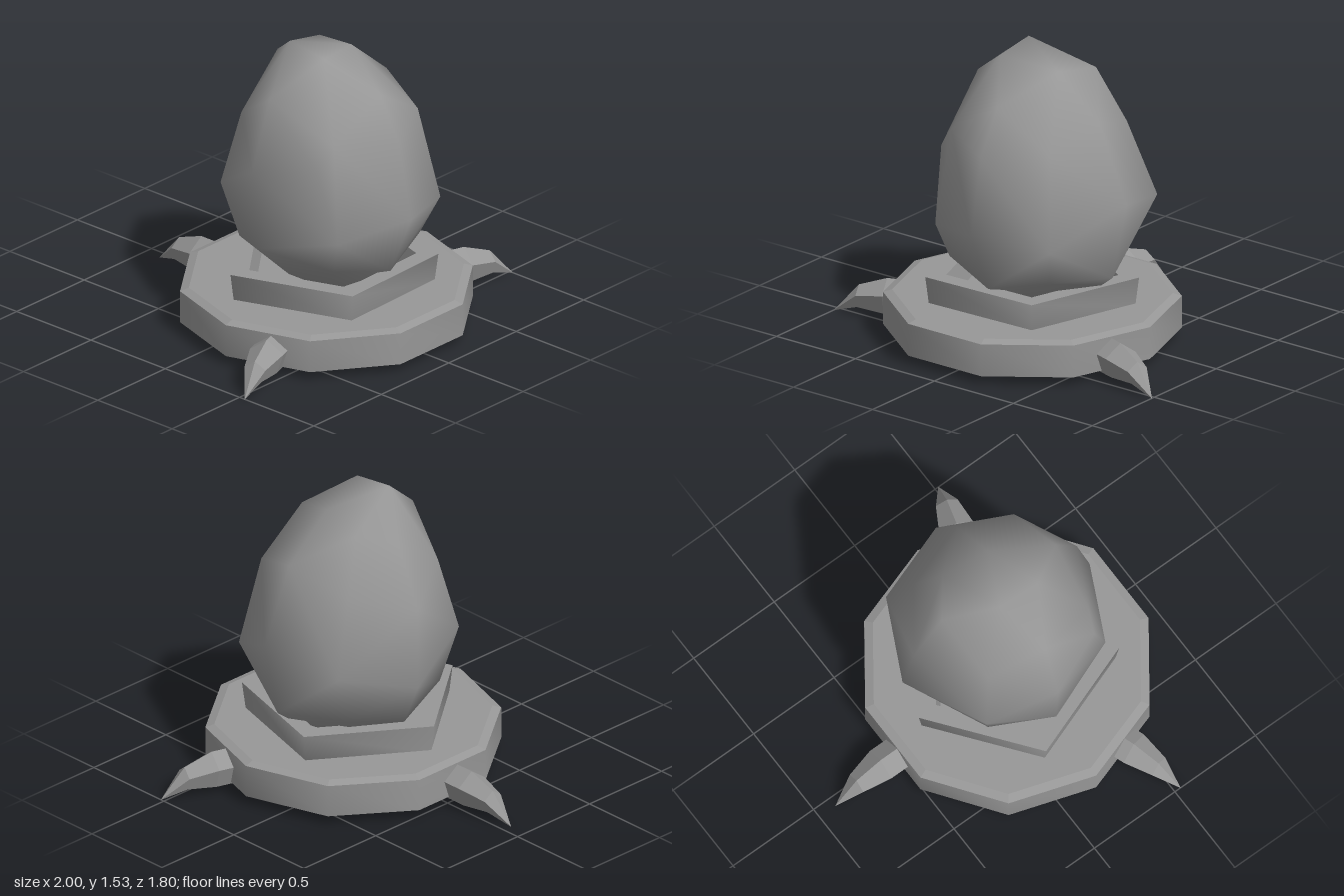
import * as THREE from 'three';
import { mergeVertices } from 'three/addons/utils/BufferGeometryUtils.js';
import { ConvexGeometry } from 'three/addons/geometries/ConvexGeometry.js';

const color = 0x979797;
const flat = new THREE.MeshStandardMaterial({ color, flatShading: true, side: THREE.DoubleSide });
const smooth = new THREE.MeshStandardMaterial({ color, side: THREE.DoubleSide });

// Horizontal regular polygon of n points.
function ring(n, r, y, phase = 0) {
  return Array.from({ length: n }, (_, k) => {
    const a = phase + (k / n) * Math.PI * 2;
    return [r * Math.cos(a), y, r * Math.sin(a)];
  });
}

// Skin a list of equal-length closed cross-sections.
function loft(rings) {
  const n = rings[0].length, index = [];
  for (let i = 0; i < rings.length - 1; i++) {
    for (let k = 0; k < n; k++) {
      const a = i * n + k, b = i * n + (k + 1) % n;
      index.push(a, a + n, b + n, a, b + n, b);
    }
  }
  const g = new THREE.BufferGeometry();
  g.setAttribute('position', new THREE.Float32BufferAttribute(rings.flat(2), 3));
  g.setIndex(index);
  g.computeVertexNormals();
  return g;
}

// Horizontal sheet from polygon rings, with an optional hole.
function sheet(outer, hole) {
  const outline = r => r.map(([x, , z]) => new THREE.Vector2(x, -z));
  const shape = new THREE.Shape(outline(outer));
  if (hole) shape.holes.push(new THREE.Path(outline(hole)));
  return new THREE.ShapeGeometry(shape).rotateX(-Math.PI / 2);
}

function part(name, geometry, material, x = 0, y = 0, z = 0) {
  const m = new THREE.Mesh(geometry, material);
  m.name = name;
  m.position.set(x, y, z);
  return m;
}

// Pentagonal stub running into a drooping, pointed claw along +x.
function clawGeometry() {
  const sections = [[0, 0.115, 0.095], [0.11, 0.115, 0.095], [0.26, 0.097, 0.06], [0.39, 0.005, 0.001]];
  return loft(sections.map(([d, cy, r]) => Array.from({ length: 5 }, (_, k) => {
    const a = (k / 5) * Math.PI * 2;
    return [d, cy + r * Math.cos(a), -r * Math.sin(a)];
  })));
}

function eggGeometry() {
  const pts = [
    // crown
    [-0.14, 1.53, 0.06], [-0.14, 1.50, 0.29], [0.16, 1.45, 0.2], [0.2, 1.41, -0.05],
    // side meridian, right and left
    [0.42, 1.23, 0.2], [0.59, 0.84, 0.2], [0.5, 0.43, 0.2], [0.43, 0.375, 0.2],
    [-0.39, 1.32, 0.15], [-0.51, 0.96, 0.14], [-0.48, 0.53, 0.15], [-0.33, 0.375, 0.2],
    // front and back meridian
    [0.02, 1.32, 0.52], [0.02, 1.09, 0.65], [0.02, 0.70, 0.73], [0.02, 0.375, 0.59],
    [0.03, 1.35, -0.18], [0.05, 1.05, -0.34], [0.09, 0.64, -0.38], [0.04, 0.375, -0.23],
    // widest diagonals
    [0.47, 0.75, -0.2], [0.40, 0.65, 0.58], [-0.34, 0.63, 0.56], [-0.37, 0.75, -0.2], [-0.38, 1.01, 0.46],
  ];
  // remaining diagonals and the flat underside
  for (const [r, y] of [[0.44, 1.13], [0.45, 0.45], [0.2, 0.23]]) {
    for (const [x, , z] of ring(4, r, y, Math.PI / 4)) pts.push([x + 0.02, y, z + 0.18]);
  }
  const hull = new ConvexGeometry(pts.map(p => new THREE.Vector3(...p)));
  hull.deleteAttribute('normal');
  const g = mergeVertices(hull, 1e-4);
  g.computeVertexNormals();
  return g;
}

export function createModel() {
  const model = new THREE.Group();
  const cx = -0.015, cz = 0.19, tilt = -Math.PI / 2 - 0.03;
  const five = (r, y) => ring(5, r, y, tilt);

  // Ten-sided base, open below: skirt, shallow bevel and top with a pentagonal opening
  model.add(part('baseSkirt', loft([ring(10, 0.745, 0.05), ring(10, 0.745, 0.22)]), smooth, cx, 0, cz));
  model.add(part('baseBevel', loft([ring(10, 0.745, 0.22), ring(10, 0.70, 0.235)]), flat, cx, 0, cz));
  model.add(part('baseTop', sheet(ring(10, 0.70, 0), five(0.54, 0)), flat, cx, 0.235, cz));

  // Flared five-sided collar with a recessed floor for the egg
  model.add(part('collarWall', loft([five(0.54, 0.22), five(0.56, 0.375)]), smooth, cx, 0, cz));
  model.add(part('collarRim', loft([five(0.56, 0.375), five(0.45, 0.375), five(0.42, 0.25)]), flat, cx, 0, cz));
  model.add(part('collarFloor', sheet(five(0.54, 0)), flat, cx, 0.25, cz));

  model.add(part('egg', eggGeometry(), smooth));

  // Three claw feet
  const claw = clawGeometry();
  const feet = [
    ['leftClaw', cx, 0.677, 18], ['rightClaw', cx, 0.653, 160.7], ['backClaw', -0.05, 0.70, 270],
  ];
  for (const [name, x, start, degrees] of feet) {
    const t = THREE.MathUtils.degToRad(degrees);
    const foot = part(name, claw, flat, x + start * Math.cos(t), 0, cz + start * Math.sin(t));
    foot.rotation.y = -t;
    model.add(foot);
  }
  return model;
}
